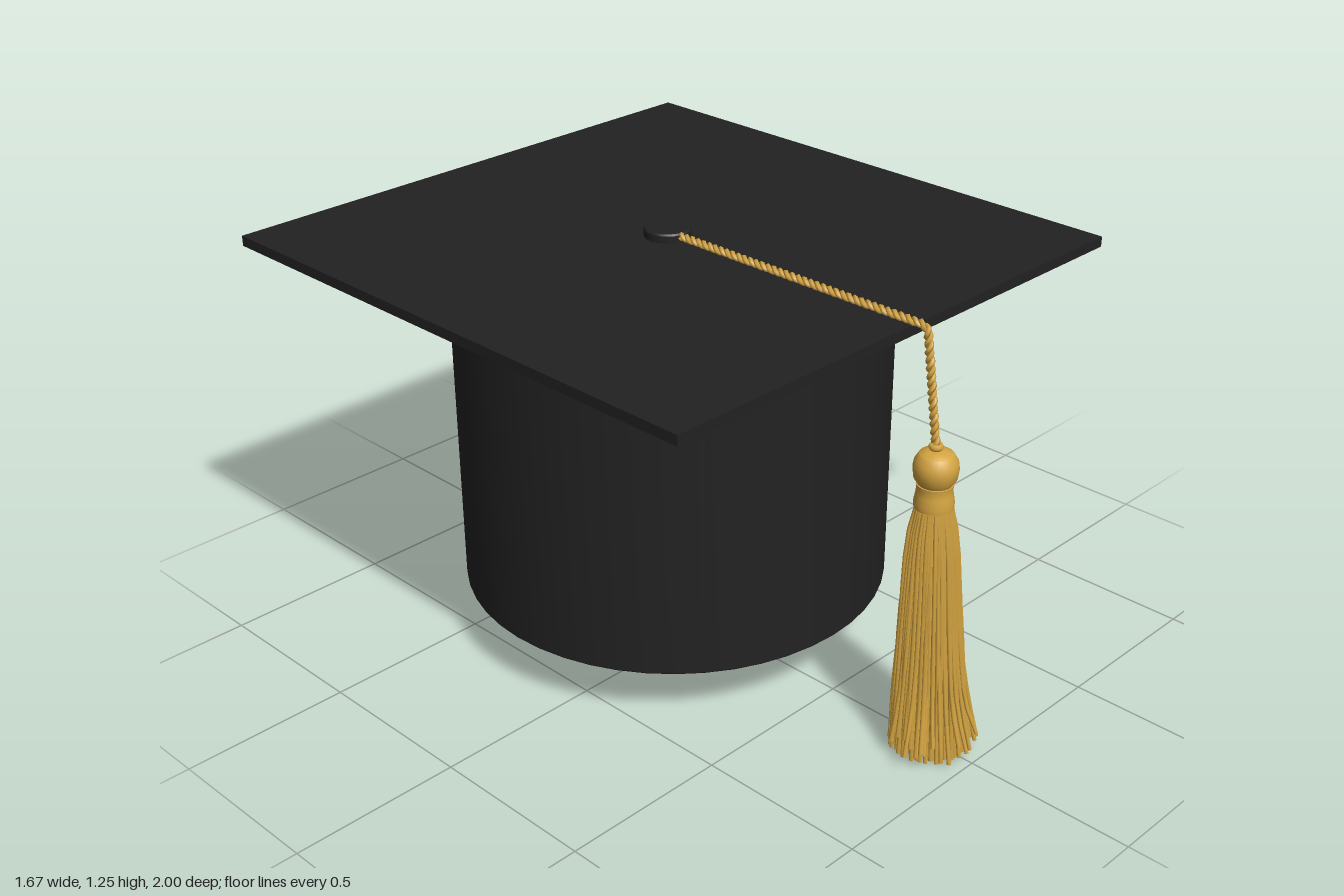
import * as THREE from 'three';
import { mergeGeometries, toCreasedNormals } from 'three/addons/utils/BufferGeometryUtils.js';

const black = new THREE.MeshStandardMaterial({ color: 0x222222 });
black.name = 'black cloth';
const gold = new THREE.MeshStandardMaterial({ color: 0xd4a441, side: THREE.DoubleSide });
gold.name = 'gold thread';

// Seeded random numbers in 0..1
let seed = 7;
const rand = () => (seed = (seed * 16807) % 2147483647) / 2147483647;

const v2 = (x, y) => new THREE.Vector2(x, y);
const v3 = (x, y, z) => new THREE.Vector3(x, y, z);

function part(parent, name, geometry, material, x = 0, y = 0, z = 0) {
  const mesh = new THREE.Mesh(geometry, material);
  mesh.name = name;
  mesh.position.set(x, y, z);
  parent.add(mesh);
  return mesh;
}

const lathe = (pts, sides) =>
  toCreasedNormals(new THREE.LatheGeometry(pts.map((p) => v2(p[0], p[1])), sides), 0.6);

// One yarn winding round a path that lies in the y-z plane
class Yarn extends THREE.Curve {
  constructor(path, phase) {
    super();
    this.path = path;
    this.phase = phase;
  }
  getPoint(t, target = v3(0, 0, 0)) {
    const a = t * Math.PI * 2 * 28 + this.phase;
    const tangent = this.path.getTangentAt(t);
    const up = tangent.cross(v3(1, 0, 0)).normalize();
    target.copy(this.path.getPointAt(t));
    target.x += Math.cos(a) * 0.006;
    return target.addScaledVector(up, Math.sin(a) * 0.006);
  }
}

function buildCord(parent) {
  const x = -0.015;
  const path = new THREE.CurvePath();
  path.add(new THREE.LineCurve3(v3(x, 1.24, -0.1), v3(x, 1.243, 0.75)));
  path.add(new THREE.QuadraticBezierCurve3(v3(x, 1.243, 0.75), v3(x, 1.245, 0.778), v3(x, 1.215, 0.781)));
  path.add(new THREE.LineCurve3(v3(x, 1.215, 0.781), v3(-0.01, 0.9, 0.823)));
  const yarns = [0, Math.PI].map((phase) =>
    new THREE.TubeGeometry(new Yarn(path, phase), 260, 0.007, 5));
  part(parent, 'cord', mergeGeometries(yarns), gold);
}

// A thread of the fringe, from the neck outward and down
function thread(angle, fraction, flare, endY) {
  const c = Math.cos(angle), s = Math.sin(angle);
  const at = (r, y, z) => v3(-0.008 + c * r, y, z + s * r);
  const wobble = () => (rand() - 0.5) * 0.008;
  const points = [
    at(0.042 * fraction, 0.76, 0.825),
    at(0.06 * fraction + wobble(), 0.66, 0.827),
    at(0.079 * fraction + wobble(), 0.4, 0.837),
    at(0.09 * fraction + flare * 0.35 + wobble(), 0.18, 0.845),
    at(0.097 * fraction + flare + wobble(), endY, 0.85),
  ];
  const curve = new THREE.CatmullRomCurve3(points);
  return new THREE.TubeGeometry(curve, 9, 0.0055 + rand() * 0.0015, 5);
}

function buildTassel(parent) {
  // Round head, bound neck
  const head = [[0.001, 0.912], [0.025, 0.91], [0.046, 0.9], [0.058, 0.88], [0.061, 0.86],
    [0.057, 0.832], [0.044, 0.812], [0.001, 0.81]].reverse();
  part(parent, 'tasselHead', lathe(head, 24), gold, -0.01, 0, 0.825);
  const neck = [[0.001, 0.745], [0.053, 0.747], [0.054, 0.762], [0.05, 0.785], [0.048, 0.8],
    [0.05, 0.815], [0.001, 0.82]];
  part(parent, 'tasselNeck', lathe(neck, 24), gold, -0.01, 0, 0.825);
  const knot = part(parent, 'cordKnot', new THREE.TorusGeometry(0.012, 0.009, 6, 14), gold, -0.011, 0.92, 0.822);
  knot.rotation.x = Math.PI / 2;

  // Solid heart of the fringe, leaning forward with it
  const core = new THREE.CylinderGeometry(0.042, 0.084, 0.73, 20, 1);
  const p = core.attributes.position;
  for (let i = 0; i < p.count; i++) if (p.getY(i) < 0) p.setZ(i, p.getZ(i) + 0.024);
  core.computeVertexNormals();
  part(parent, 'fringeCore', core, gold, -0.008, 0.385, 0.825);

  // Rings of hanging threads
  const threads = [];
  for (const [fraction, count] of [[0.7, 20], [0.88, 34], [1.02, 46]]) {
    for (let i = 0; i < count; i++) {
      const angle = ((i + rand() * 0.6) / count) * Math.PI * 2;
      threads.push(thread(angle, fraction, rand() * 0.008, 0.008 + rand() * 0.012));
    }
  }
  // Stray ends curling outward, mostly at the front
  for (let i = 0; i < 22; i++) {
    const angle = -0.3 + (i / 21) * (Math.PI + 0.6);
    const flare = 0.012 + rand() * 0.024 + Math.max(0, Math.sin(angle)) * 0.012;
    threads.push(thread(angle, 1, flare, 0.02 + rand() * 0.06));
  }
  threads.push(thread(2.9, 1, 0.055, 0.05), thread(2.6, 1, 0.05, 0.07));
  threads.push(thread(0.25, 1, 0.038, 0.03), thread(1.7, 1, 0.05, 0.055), thread(1.35, 1, 0.046, 0.09));
  part(parent, 'fringe', mergeGeometries(threads), gold);
}

export function createModel() {
  const group = new THREE.Group();
  group.name = 'graduationCap';
  seed = 7;

  // Crown with a closed base and a rim under the board
  const crown = [[0.001, 0.18], [0.622, 0.18], [0.63, 0.187], [0.63, 1.17], [0.001, 1.17]];
  part(group, 'crown', lathe(crown, 48), black, 0, 0, -0.138);
  const rim = [[0.6, 1.155], [0.632, 1.157], [0.672, 1.168], [0.682, 1.182], [0.682, 1.198], [0.001, 1.198]];
  part(group, 'rim', lathe(rim, 48), black, -0.003, 0, -0.138);

  // Square board and its centre button
  part(group, 'board', new THREE.BoxGeometry(1.67, 0.03, 1.72), black, -0.003, 1.209, -0.14);
  const button = [[0.001, 1.22], [0.067, 1.22], [0.067, 1.245], [0.063, 1.25], [0.001, 1.25]];
  part(group, 'button', lathe(button, 32), black, -0.004, 0, -0.155);

  buildCord(group);
  const tassel = new THREE.Group();
  tassel.name = 'tassel';
  buildTassel(tassel);
  group.add(tassel);
  return group;
}
